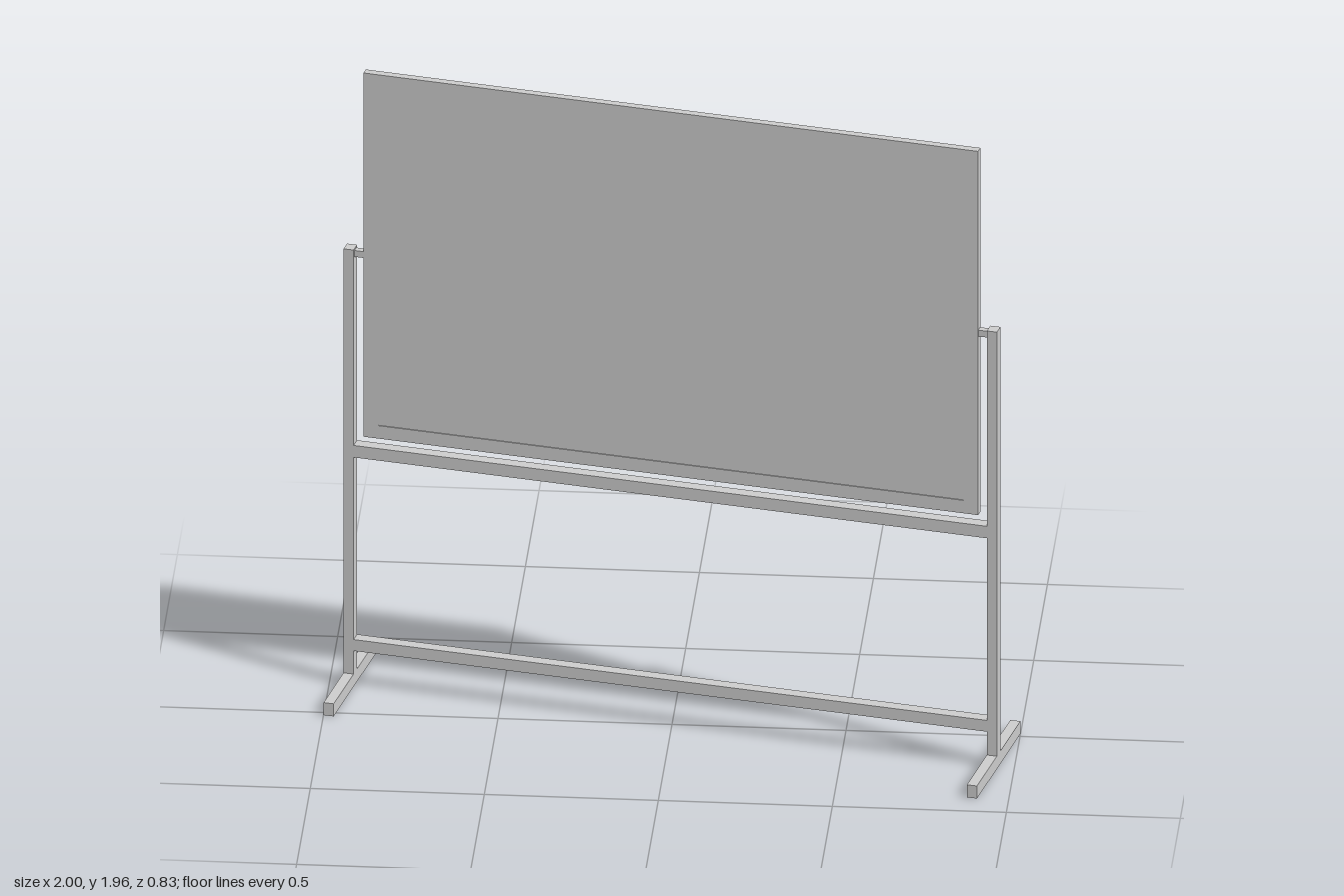
import * as THREE from 'three';

const material = new THREE.MeshStandardMaterial({ color: 0xcccccc, flatShading: true });

// Box given its size, centre x and z, and the height of its underside
function box(name, w, h, d, x, bottom, z = 0) {
  const mesh = new THREE.Mesh(new THREE.BoxGeometry(w, h, d), material);
  mesh.name = name;
  mesh.position.set(x, bottom + h / 2, z);
  return mesh;
}

function rectangle(target, x, y0, y1) {
  target.moveTo(-x, y0);
  target.lineTo(x, y0);
  target.lineTo(x, y1);
  target.lineTo(-x, y1);
  target.closePath();
  return target;
}

export function createModel() {
  const model = new THREE.Group();
  model.name = 'rollingBoard';
  const stand = new THREE.Group();
  stand.name = 'stand';
  const board = new THREE.Group();
  board.name = 'board';
  model.add(stand, board);

  // Side supports: floor bar, upright post and the pivot holding the board
  for (const [side, s] of [['left', 1], ['right', -1]]) {
    stand.add(
      box(side + 'Foot', 0.03, 0.04, 0.443, s * 0.96, 0),
      box(side + 'Post', 0.03, 1.35, 0.036, s * 0.96, 0.04),
      box(side + 'Pivot', 0.03, 0.02, 0.02, s * 0.931, 1.365),
    );
  }

  // Cross rails between the posts
  stand.add(
    box('lowerRail', 1.89, 0.036, 0.036, 0, 0.114),
    box('upperRail', 1.89, 0.038, 0.036, 0, 0.73),
  );

  // Frame around the board
  const outline = rectangle(new THREE.Shape(), 0.917, 0.797, 1.955);
  outline.holes.push(rectangle(new THREE.Path(), 0.873, 0.838, 1.912));
  const frame = new THREE.Mesh(
    new THREE.ExtrudeGeometry(outline, { depth: 0.024, bevelEnabled: false }), material);
  frame.name = 'frame';
  frame.position.z = -0.012;

  // Writing panel: flush at the back, slightly recessed at the front
  board.add(frame, box('panel', 1.746, 1.074, 0.021, 0, 0.838, -0.0015));

  // The whole piece stands turned about the vertical axis
  model.rotation.y = -0.206;
  return model;
}
